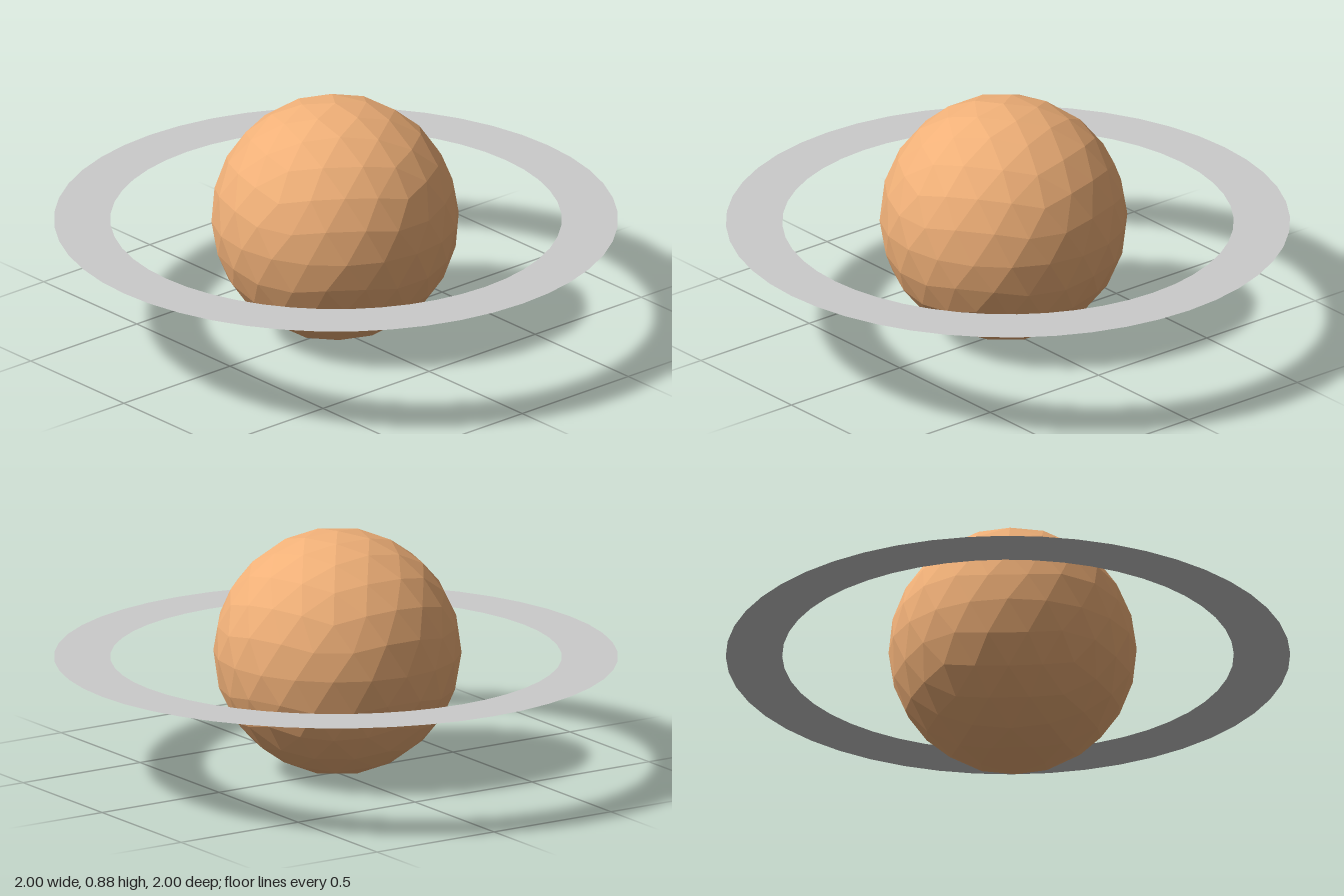
import * as THREE from 'three';

// Icosphere with a corner at each pole, halved twice so the facets stay even
function icosphere(radius) {
  const corners = Array.from(new THREE.IcosahedronGeometry(1, 1).attributes.position.array);
  const faces = Array.from({ length: corners.length / 3 }, (_, i) => i);
  const geometry = new THREE.PolyhedronGeometry(corners, faces, radius, 1);
  geometry.rotateX(-Math.atan((1 + Math.sqrt(5)) / 2)); // corner to the pole
  geometry.rotateY(Math.PI / 2); // first upper edge towards +x
  return geometry;
}

export function createModel() {
  const model = new THREE.Group();
  model.name = 'ringedPlanet';

  // Faceted globe
  const globe = new THREE.Mesh(
    icosphere(0.44),
    new THREE.MeshStandardMaterial({ color: 0xf0b078, flatShading: true })
  );
  globe.name = 'planet';
  globe.position.set(0.01, 0.44, 0.013);
  model.add(globe);

  // Thin ring: flat on top, with a shallow ridge underneath
  const profile = [[0.8, 0.424], [0.9, 0.416], [1, 0.424], [0.8, 0.424]]
    .map(([r, y]) => new THREE.Vector2(r, y));
  const ring = new THREE.Mesh(
    new THREE.LatheGeometry(profile, 48),
    new THREE.MeshStandardMaterial({ color: 0xcccccc, flatShading: true })
  );
  ring.name = 'ring';
  model.add(ring);

  return model;
}
